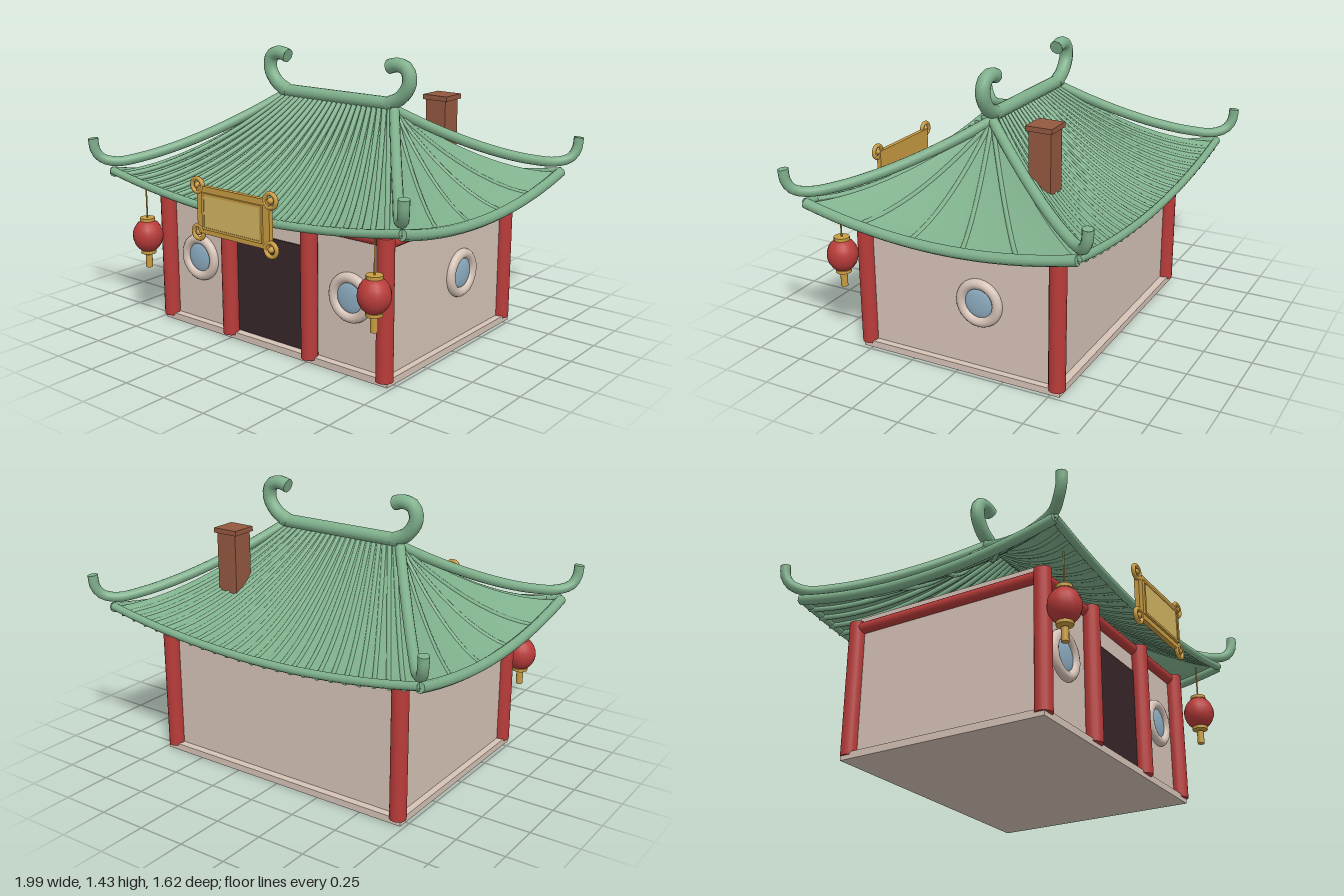
import * as THREE from 'three';
import { mergeGeometries } from 'three/addons/utils/BufferGeometryUtils.js';

const mat = (name, color, extra = {}) => {
  const m = new THREE.MeshStandardMaterial({ color, ...extra });
  m.name = name;
  return m;
};
const V = (x, y, z) => new THREE.Vector3(x, y, z);

export function createModel() {
  const group = new THREE.Group();
  const tile = mat('green roof tile', 0x7fb08c, { side: THREE.DoubleSide });
  const plaster = mat('pale plaster', 0xd6c3b7);
  const red = mat('red lacquer', 0xb93c3a);
  const gold = mat('gold', 0xc99c42);
  const panelGold = mat('light gold', 0xd2b562);
  const dark = mat('dark door', 0x38262a);
  const glass = mat('blue glass', 0x8fafc4);
  const brick = mat('brown brick', 0x94583f);

  const add = (name, geo, material, x = 0, y = 0, z = 0, parent = group) => {
    const mesh = new THREE.Mesh(geo, material);
    mesh.name = name;
    mesh.position.set(x, y, z);
    parent.add(mesh);
    return mesh;
  };
  const box = (name, m, w, h, d, x, y, z) => add(name, new THREE.BoxGeometry(w, h, d), m, x, y, z);

  // Tube along points, closed with a disc at each end
  const tubeGeo = (pts, r, segs = 24, sides = 10) => {
    const curve = new THREE.CatmullRomCurve3(pts);
    const parts = [new THREE.TubeGeometry(curve, segs, r, sides)];
    for (const t of [0, 1]) {
      const dir = curve.getTangent(t).multiplyScalar(t ? 1 : -1);
      const cap = new THREE.CircleGeometry(r, sides);
      cap.applyQuaternion(new THREE.Quaternion().setFromUnitVectors(V(0, 0, 1), dir));
      const p = curve.getPoint(t);
      parts.push(cap.translate(p.x, p.y, p.z));
    }
    return mergeGeometries(parts);
  };

  // Base and walls
  box('base', plaster, 1.46, 0.035, 1.1, 0, 0.0175, 0);
  box('walls', plaster, 1.39, 0.72, 1.02, 0, 0.38, 0);
  box('door', dark, 0.46, 0.53, 0.008, 0, 0.305, 0.513);

  // Posts and beams
  const post = new THREE.CylinderGeometry(0.042, 0.042, 0.69, 16);
  for (const s of [-1, 1]) {
    add('frontCornerPost', post, red, s * 0.7, 0.367, 0.53);
    add('doorPost', post, red, s * 0.26, 0.367, 0.538);
    add('backCornerPost', post, red, s * 0.7, 0.367, -0.522);
    const beam = add('sideBeam', new THREE.CylinderGeometry(0.03, 0.03, 1.04, 14), red, s * 0.7, 0.68, 0);
    beam.rotation.x = Math.PI / 2;
  }
  const frontBeam = add('frontBeam', new THREE.CylinderGeometry(0.03, 0.03, 1.4, 14), red, 0, 0.69, 0.515);
  frontBeam.rotation.z = Math.PI / 2;

  // Round windows
  const addWindow = (x, z, turn, scale) => {
    const w = new THREE.Group();
    w.name = 'roundWindow';
    add('windowRing', new THREE.TorusGeometry(0.098, 0.026, 12, 28), plaster, 0, 0, 0, w);
    const pane = add('windowPane', new THREE.SphereGeometry(0.08, 20, 12), glass, 0, 0, 0, w);
    pane.scale.z = 0.2;
    w.position.set(x, 0.375, z);
    w.rotation.y = turn;
    w.scale.setScalar(scale);
    group.add(w);
  };
  addWindow(-0.49, 0.515, 0, 1);
  addWindow(0.49, 0.515, 0, 1);
  addWindow(0.7, -0.11, Math.PI / 2, 1);

  // Curved hip roof: u runs along the eave (-1..1), t from ridge to eave (0..1)
  const roofPoint = (face, u, t, lift = 0) => {
    const X = 0.36 + 0.56 * t, Z = 0.725 * t;
    const y = 0.805 + 0.37 * (1 - t) ** 1.7 - 0.09 * t * (1 - u * u) + lift;
    if (face === 'front') return V(u * X, y, Z);
    if (face === 'back') return V(-u * X, y, -Z);
    return face === 'right' ? V(X, y, -u * Z) : V(-X, y, u * Z);
  };
  const line = (n, f) => Array.from({ length: n + 1 }, (_, i) => f(i / n));
  for (const face of ['front', 'right', 'back', 'left']) {
    const long = face === 'front' || face === 'back';
    const geo = new THREE.PlaneGeometry(2, 1, 24, 16);
    const pos = geo.attributes.position;
    for (let i = 0; i < pos.count; i++) {
      const p = roofPoint(face, pos.getX(i), 0.5 - pos.getY(i));
      pos.setXYZ(i, p.x, p.y, p.z);
    }
    geo.computeVertexNormals();
    add(face + 'RoofSlope', geo, tile);

    // Eave roll along the lower edge
    const eave = line(12, (k) => roofPoint(face, k * 2 - 1, 0.985, long ? 0.005 : 0));
    add(face + 'Eave', tubeGeo(eave, long ? 0.02 : 0.026, 28), tile);

    // Tile ribs fanning from ridge to eave
    const n = long ? 11 : 2;
    const lift = face === 'front' ? 0.008 : -0.006;
    const ribs = [];
    for (let i = -n; i <= n; i++) {
      if (!long && i === 0) continue;
      const u = long ? i / 12 : Math.sign(i) * (Math.abs(i) * 0.4 - 0.2);
      ribs.push(tubeGeo(line(8, (t) => roofPoint(face, u, t, lift)), 0.013, 16, 8));
    }
    add(face + 'TileRibs', mergeGeometries(ribs), tile);
  }

  // Hip ridges with upturned tips
  for (const sx of [-1, 1]) for (const sz of [-1, 1]) {
    const pts = line(6, (t) => V(sx * (0.36 + 0.53 * t), 0.86 + 0.31 * (1 - t) ** 1.5, sz * 0.7 * t));
    pts.push(V(sx * 0.945, 0.88, sz * 0.755), V(sx * 0.965, 0.925, sz * 0.78), V(sx * 0.97, 0.985, sz * 0.785));
    add('hipRidge', tubeGeo(pts, 0.026, 40, 12), tile);
  }

  // Main ridge with hooked ends
  const ridge = add('mainRidge', new THREE.CylinderGeometry(0.034, 0.034, 0.72, 14), tile, 0, 1.197, 0);
  ridge.rotation.z = Math.PI / 2;
  for (const s of [-1, 1]) {
    const hook = [[0.32, 1.195], [0.4, 1.235], [0.448, 1.31], [0.432, 1.375], [0.375, 1.393], [0.325, 1.38]];
    add('ridgeHook', tubeGeo(hook.map(([x, y]) => V(s * x, y, 0)), 0.036, 14, 12), tile);
  }

  // Chimney
  box('chimney', brick, 0.115, 0.35, 0.115, 0.43, 1.02, -0.318);
  box('chimneyCap', brick, 0.14, 0.025, 0.135, 0.43, 1.203, -0.318);

  // Sign board with corner scrolls
  box('signBoard', gold, 0.46, 0.235, 0.024, 0, 0.737, 0.768);
  box('signPanel', panelGold, 0.355, 0.16, 0.009, 0, 0.735, 0.784);
  const frameShape = new THREE.Shape();
  frameShape.moveTo(-0.19, -0.09).lineTo(0.19, -0.09).lineTo(0.19, 0.09).lineTo(-0.19, 0.09).closePath();
  const hole = new THREE.Path();
  hole.moveTo(-0.176, -0.078).lineTo(-0.176, 0.078).lineTo(0.176, 0.078).lineTo(0.176, -0.078).closePath();
  frameShape.holes.push(hole);
  add('signFrame', new THREE.ExtrudeGeometry(frameShape, { depth: 0.013, bevelEnabled: false }), gold, 0, 0.735, 0.778);
  for (const sx of [-1, 1]) for (const y of [0.62, 0.852]) {
    add('signScroll', new THREE.TorusGeometry(0.034, 0.011, 8, 18), gold, sx * 0.232, y, 0.772);
    add('signScrollKnob', new THREE.SphereGeometry(0.016, 10, 8), gold, sx * 0.232, y, 0.772);
  }

  // Hanging lanterns
  for (const s of [-1, 1]) {
    const lantern = new THREE.Group();
    lantern.name = 'lantern';
    lantern.position.set(s * 0.73, 0.482, 0.655);
    const body = add('lanternBody', new THREE.SphereGeometry(0.079, 16, 12), red, 0, 0, 0, lantern);
    body.scale.y = 1.12;
    const part = (name, r, h, y) => add(name, new THREE.CylinderGeometry(r, r, h, 12), gold, 0, y, 0, lantern);
    part('lanternTopCap', 0.04, 0.016, 0.087);
    part('lanternBottomCap', 0.04, 0.016, -0.087);
    part('lanternTassel', 0.018, 0.068, -0.138);
    part('lanternCord', 0.004, 0.44, 0.05).scale.y = 1;
    group.add(lantern);
  }
  return group;
}
